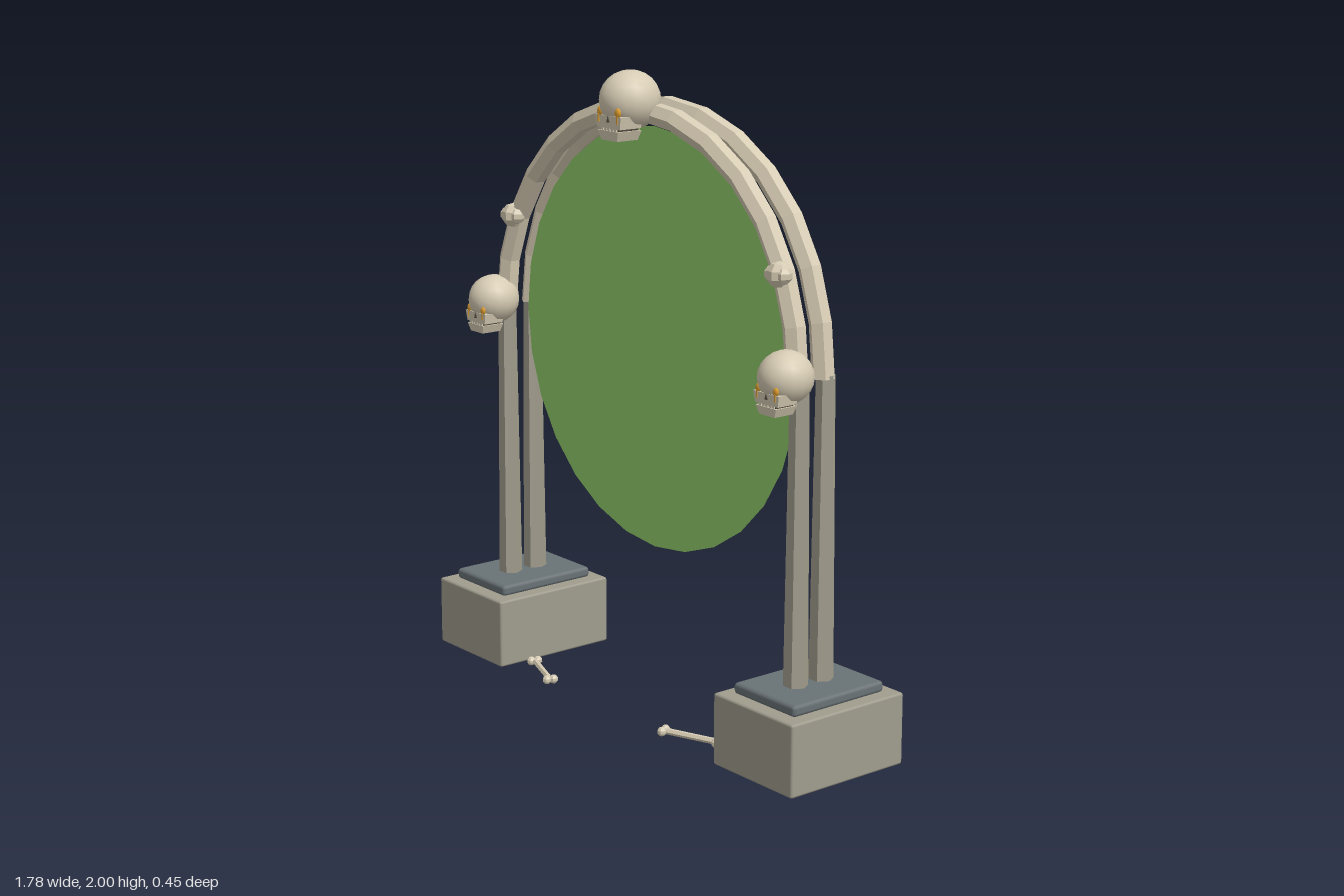
import * as THREE from 'three';
import { RoundedBoxGeometry } from 'three/addons/geometries/RoundedBoxGeometry.js';

const mat = (name, color, extra = {}) => {
  const m = new THREE.MeshStandardMaterial({ color, ...extra });
  m.name = name;
  return m;
};

export function createModel() {
  const bone = mat('bone', 0xd6cbb3);
  const boneFacet = mat('facetedBone', 0xd6cbb3, { flatShading: true });
  const oldBone = mat('weatheredBone', 0xa39f8f, { flatShading: true });
  const stone = mat('stone', 0xa09d8e);
  const slate = mat('slate', 0x697276);
  const glow = mat('amberGlow', 0xe0a030);
  const dark = mat('darkHollow', 0x4a453b);
  const green = mat('portalGreen', 0x90ce6a, { side: THREE.DoubleSide });

  const model = new THREE.Group();
  model.name = 'boneArchPortal';
  const add = (parent, name, geo, material, x = 0, y = 0, z = 0) => {
    const m = new THREE.Mesh(geo, material);
    m.name = name;
    m.position.set(x, y, z);
    parent.add(m);
    return m;
  };

  const CY = 1.17, R = 0.71, ROWS = [0.045, -0.055];

  // Portal disc
  add(model, 'portalDisc', new THREE.CircleGeometry(0.66, 28), green, 0, 1.165, 0);

  // Twin half-ring arches, slightly wavy in depth
  class ArchCurve extends THREE.Curve {
    getPoint(t, target = new THREE.Vector3()) {
      const a = Math.PI * t;
      return target.set(R * Math.cos(a), CY + R * Math.sin(a), 0.005 * Math.cos(a * 4));
    }
  }
  ROWS.forEach((z, i) => {
    const arch = new THREE.Group();
    arch.name = i ? 'backArch' : 'frontArch';
    arch.position.z = z;
    model.add(arch);
    add(arch, 'archRib', new THREE.TubeGeometry(new ArchCurve(), 14, 0.035, 6, false), boneFacet);
    for (const s of [-1, 1]) {
      const cap = add(arch, 'archEnd', new THREE.CircleGeometry(0.034, 6), boneFacet, s * R, CY, 0.005);
      cap.rotation.x = Math.PI / 2;
    }
  });

  // Skull: cranium, cheeks, teeth, jaw, nose and eyes
  const taper = (w, h, d, k) => {
    const g = new THREE.BoxGeometry(w, h, d);
    const p = g.attributes.position;
    for (let i = 0; i < p.count; i++) {
      if (p.getY(i) < 0) p.setXYZ(i, p.getX(i) * k, p.getY(i), p.getZ(i) * (0.5 + k / 2));
    }
    g.computeVertexNormals();
    return g;
  };
  const skull = (name, x, y, z, s) => {
    const g = new THREE.Group();
    g.name = name;
    g.position.set(x, y, z);
    g.scale.setScalar(s);
    model.add(g);
    add(g, 'cranium', new THREE.SphereGeometry(0.09, 16, 12), bone).scale.z = 1.08;
    add(g, 'cheeks', taper(0.125, 0.038, 0.085, 0.88), boneFacet, 0, -0.06, 0.042);
    add(g, 'mouthGap', new THREE.BoxGeometry(0.085, 0.012, 0.075), dark, 0, -0.083, 0.04);
    add(g, 'jaw', taper(0.1, 0.03, 0.09, 0.75), boneFacet, 0, -0.101, 0.04);
    for (let i = -2; i <= 2; i++) {
      add(g, 'tooth', new THREE.BoxGeometry(0.012, 0.014, 0.006), bone, i * 0.016, -0.082, 0.079);
    }
    const nose = add(g, 'nose', new THREE.ConeGeometry(0.01, 0.022, 3), dark, 0, -0.05, 0.085);
    nose.scale.z = 0.5;
    for (const e of [-1, 1]) {
      const eye = add(g, 'eye', new THREE.SphereGeometry(0.013, 8, 6), glow, e * 0.042, -0.03, 0.079);
      eye.scale.set(1, 1.2, 0.6);
      add(g, 'eyeDrip', new THREE.BoxGeometry(0.005, 0.026, 0.008), glow, e * 0.044, -0.05, 0.082);
    }
  };
  skull('topSkull', 0, 1.912, 0.095, 1);

  for (const s of [-1, 1]) {
    const side = s > 0 ? 'left' : 'right';
    skull(side + 'Skull', s * 0.715, 1.195, 0.098, 0.88);

    // Pedestal and slate cap
    add(model, side + 'Pedestal', new RoundedBoxGeometry(0.35, 0.225, 0.44, 1, 0.008), stone, s * 0.715, 0.1125, -0.007);
    add(model, side + 'PedestalCap', new RoundedBoxGeometry(0.27, 0.036, 0.355, 1, 0.012), slate, s * 0.715, 0.242, -0.007);

    // Paired tapering posts
    for (const z of ROWS) {
      const post = add(model, side + 'Post', new THREE.CylinderGeometry(0.029, 0.038, 0.93, 6), oldBone, s * 0.715, 0.715, z);
      post.geometry.rotateY(Math.PI / 6);
    }

    // Knuckle on the front arch
    const knuckle = new THREE.Group();
    knuckle.name = side + 'Knuckle';
    knuckle.position.set(s * 0.645, 1.476, 0.065);
    model.add(knuckle);
    add(knuckle, 'knuckleCore', new THREE.SphereGeometry(0.04, 7, 5), boneFacet);
    for (const e of [-1, 1]) {
      add(knuckle, 'knuckleLobe', new THREE.SphereGeometry(0.026, 6, 5), boneFacet, e * 0.024, 0, 0.004);
    }

    // Loose bone on the ground
    const loose = new THREE.Group();
    loose.name = side + 'LooseBone';
    loose.position.set(s * 0.378, 0.028, 0.165);
    loose.rotation.y = s * 0.36;
    model.add(loose);
    add(loose, 'shaft', new THREE.CylinderGeometry(0.01, 0.01, 0.19, 6).rotateZ(Math.PI / 2), boneFacet);
    for (const e of [-1, 1]) for (const f of [-1, 1]) {
      add(loose, 'boneEnd', new THREE.SphereGeometry(0.015, 7, 5), boneFacet, e * 0.094, 0, f * 0.011);
    }
  }
  return model;
}
